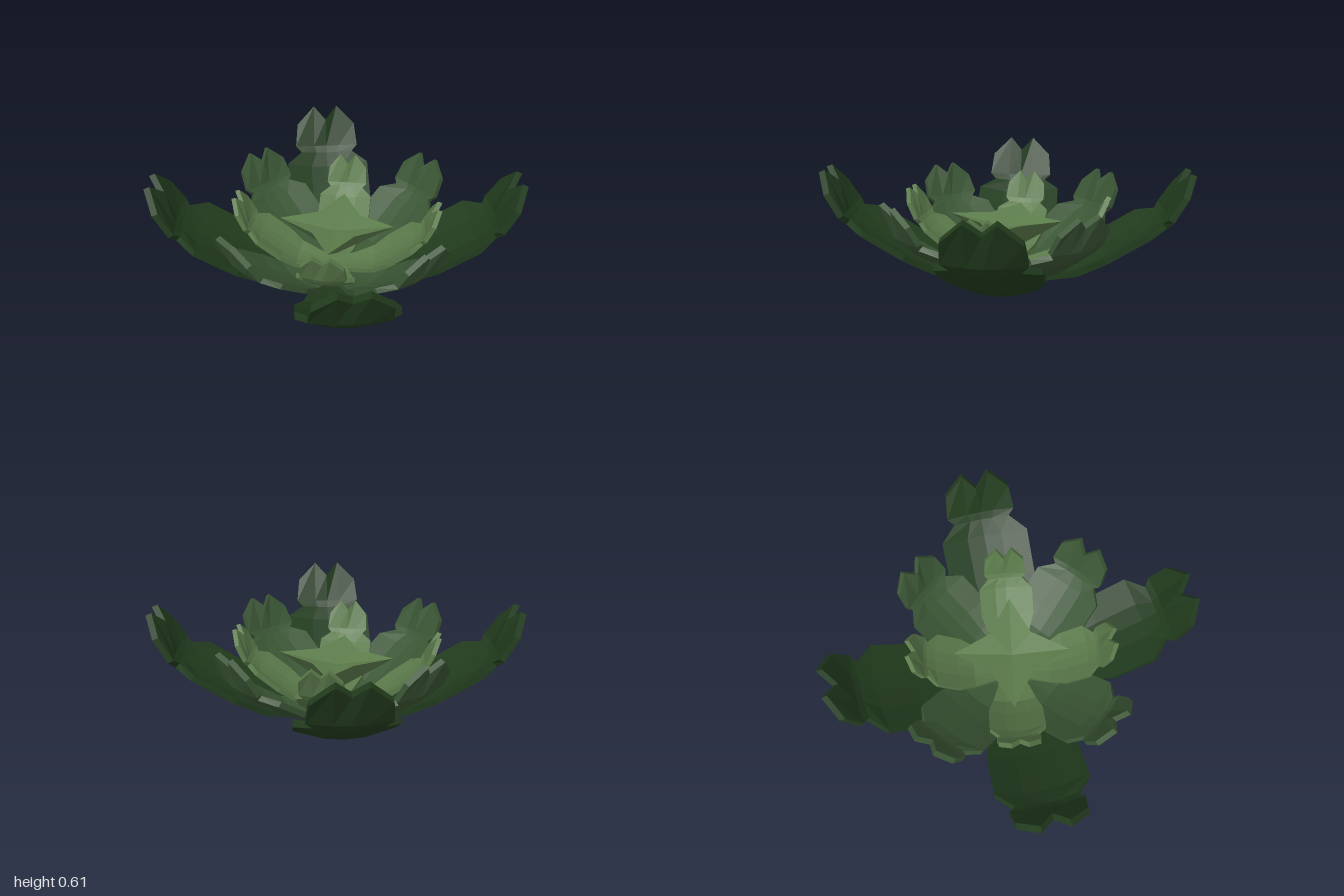
import * as THREE from 'three';

const rad = THREE.MathUtils.degToRad;

// Leaf cross-sections from base to tip: [radius, underside height, half width, edge lift]
const ROWS = [
  [0.00, 0.000, 0.07, 0.00],
  [0.20, 0.008, 0.14, 0.02],
  [0.40, 0.040, 0.20, 0.04],
  [0.56, 0.125, 0.25, 0.05],
  [0.78, 0.260, 0.25, 0.05],
  [0.86, 0.325, 0.16, 0.02],
  [0.895, 0.370, 0.195, 0.02],
  [0.95, 0.500, 0.18, 0.00],
];
const COLS = [-1, -0.4, 0, 0.4, 1];
// Forked tip: radius and height of the last row, per column
const TIP = [[0.95, 0.5], [1, 0.6], [0.945, 0.53], [1, 0.6], [0.95, 0.5]];

function faceted(points, index) {
  const g = new THREE.BufferGeometry();
  g.setAttribute('position', new THREE.Float32BufferAttribute(points, 3));
  g.setIndex(index);
  const flat = g.toNonIndexed();
  flat.computeVertexNormals();
  return flat;
}

// Thick cupped leaf growing along +x; rings run across the top and back under it
function leafGeometry({ length, width, base, height, thickness }) {
  const points = [], index = [];
  const n = COLS.length, ring = n * 2, last = ROWS.length - 1;
  ROWS.forEach(([r, y, w, lift], i) => {
    const p = ROWS[Math.max(i - 1, 0)], q = ROWS[Math.min(i + 1, last)];
    const dx = (q[0] - p[0]) * length, dy = (q[1] - p[1]) * height;
    const len = Math.hypot(dx, dy);
    const nx = -dy / len, ny = dx / len;
    for (let k = 0; k < ring; k++) {
      const top = k < n, j = top ? k : ring - 1 - k, u = COLS[j];
      const [pr, py] = i === last ? TIP[j] : [r, y];
      const d = lift * width * u * u + (top ? thickness : 0);
      points.push(pr * length + nx * d, base + py * height + ny * d, u * w * width);
    }
  });
  for (let i = 0; i < last; i++) {
    for (let k = 0; k < ring; k++) {
      const a = i * ring + k, b = i * ring + (k + 1) % ring;
      index.push(a, b, b + ring, a, b + ring, a + ring);
    }
  }
  // End caps
  for (let j = 0; j < n - 1; j++) {
    const a = j, b = j + 1, c = ring - 2 - j, d = ring - 1 - j, o = last * ring;
    index.push(a, c, b, a, d, c);
    index.push(o + a, o + b, o + c, o + a, o + c, o + d);
  }
  return faceted(points, index);
}

// Four-pointed shallow cup with a tapering underside
function heartGeometry() {
  const points = [0, 0.29, 0, 0, 0.14, 0], index = [];
  for (let k = 0; k < 8; k++) {
    const point = k % 2 === 0, a = rad(14 + k * 45), r = point ? 0.315 : 0.16;
    points.push(Math.cos(a) * r, point ? 0.345 : 0.335, Math.sin(a) * r);
    const p = 2 + k, q = 2 + (k + 1) % 8;
    index.push(0, q, p, 1, p, q);
  }
  return faceted(points, index);
}

export function createModel() {
  const model = new THREE.Group();
  model.name = 'rosettePlant';
  const material = (color) => new THREE.MeshStandardMaterial({ color, flatShading: true });

  // Three whorls of four leaves, each turned by its own angles
  const whorls = [
    { name: 'outerLeaf', color: 0x213b1d, angles: [4.5, 91, 184.5, 271],
      length: 1, width: 1, base: 0, height: 1, thickness: 0.035 },
    { name: 'middleLeaf', color: 0x3a5534, angles: [-35, 54, 145, 234],
      length: 0.72, width: 0.82, base: 0.03, height: 0.8, thickness: 0.03 },
    { name: 'innerLeaf', color: 0x5a794a, angles: [12, 103, 192, 283],
      length: 0.565, width: 0.6, base: 0.06, height: 0.7, thickness: 0.025 },
  ];
  for (const whorl of whorls) {
    const geometry = leafGeometry(whorl), mat = material(whorl.color);
    whorl.angles.forEach((angle, i) => {
      const leaf = new THREE.Mesh(geometry, mat);
      leaf.name = `${whorl.name}${i + 1}`;
      leaf.rotation.y = -rad(angle);
      model.add(leaf);
    });
  }

  // Star-shaped heart of the plant
  const heart = new THREE.Mesh(heartGeometry(), material(0x5d7d4c));
  heart.name = 'centreStar';
  model.add(heart);
  return model;
}
